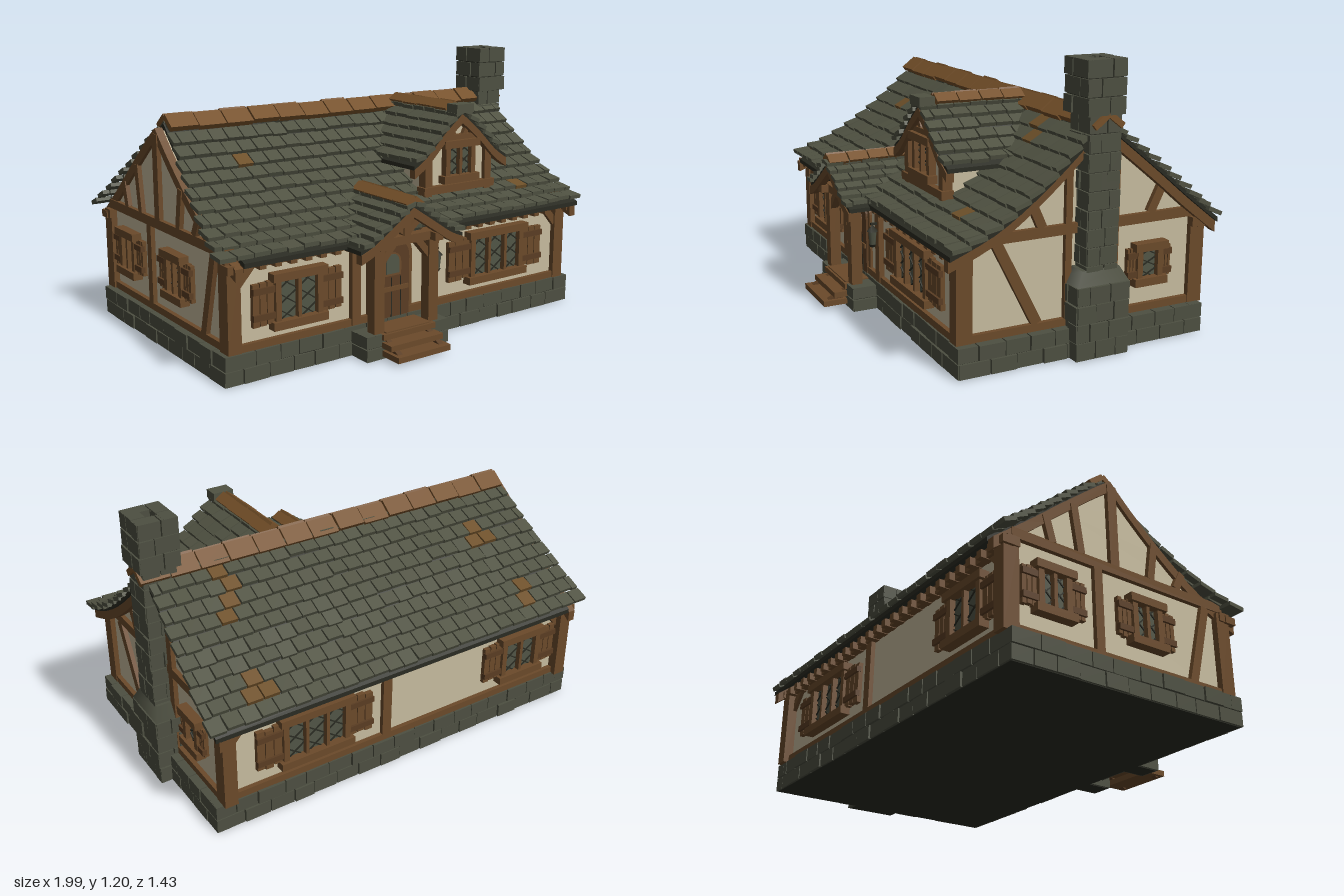
import * as THREE from 'three';
import { mergeGeometries } from 'three/addons/utils/BufferGeometryUtils.js';

const mat = (name, color) => Object.assign(new THREE.MeshStandardMaterial({ color }), { name });
const M = {
  slate: mat('slate', 0x505242), gap: mat('dark gap', 0x2a2b22), stone: mat('stone', 0x4d4f41),
  wood: mat('timber', 0x6b4a2a), board: mat('dark board', 0x5a3d23), ridge: mat('ridge wood', 0x755029),
  plaster: mat('plaster', 0xc6bb9e), glass: mat('glass', 0x515546), moss: mat('rusty slate', 0x6e5029),
};
const V = (x, y, z) => new THREE.Vector3(x, y, z);
let seed = 7;
const rnd = () => (seed = (seed * 16807) % 2147483647) / 2147483647;
const jit = a => (rnd() - 0.5) * 2 * a;

function add(parent, name, geo, material, x = 0, y = 0, z = 0) {
  const m = new THREE.Mesh(geo, material);
  m.name = name;
  m.position.set(x, y, z);
  parent.add(m);
  return m;
}
const box = (g, name, m, x0, x1, y0, y1, z0, z1) =>
  add(g, name, new THREE.BoxGeometry(x1 - x0, y1 - y0, z1 - z0), m, (x0 + x1) / 2, (y0 + y1) / 2, (z0 + z1) / 2);

// Straight timber between two points; depth is measured along the wall normal
function beam(g, name, a, b, w, depth, normal = V(0, 0, 1), m = M.wood) {
  const dir = b.clone().sub(a), len = dir.length();
  dir.normalize();
  const side = dir.clone().cross(normal).normalize();
  const mesh = add(g, name, new THREE.BoxGeometry(w, len, depth), m);
  mesh.quaternion.setFromRotationMatrix(new THREE.Matrix4().makeBasis(side, dir, side.clone().cross(dir)));
  mesh.position.copy(a).add(b).multiplyScalar(0.5);
}

// Courses of uneven blocks around a dark core
function masonry(g, name, x0, x1, y0, y1, z0, z1, courses, size, coreDrop = 0.012) {
  const geos = [], h = (y1 - y0) / courses, D = 0.06, gp = 0.005;
  box(g, name + 'Core', M.gap, x0 + 0.01, x1 - 0.01, y0, y1 - coreDrop, z0 + 0.01, z1 - 0.01);
  const run = (a, b, place) => {
    const n = Math.max(1, Math.round((b - a) / size)), s = (b - a) / n;
    for (let r = 0; r < courses; r++) {
      const cuts = [a];
      for (let i = 1; i < n; i++) cuts.push(a + (i + (r % 2 ? 0.2 : -0.2)) * s + jit(s * 0.12));
      cuts.push(b);
      for (let i = 0; i < n; i++) place(cuts[i], cuts[i + 1], y0 + r * h);
    }
  };
  const block = (w, d, cx, cy, cz) => geos.push(new THREE.BoxGeometry(w, h - gp, d).rotateZ(jit(0.015)).translate(cx, cy + h / 2, cz));
  for (const s of [-1, 1]) {
    run(x0, x1, (a, b, y) => block(b - a - gp, D, (a + b) / 2, y, (s < 0 ? z0 + D / 2 : z1 - D / 2) + jit(0.004)));
    run(z0, z1, (a, b, y) => block(D, b - a - gp, (s < 0 ? x0 + D / 2 : x1 - D / 2) + jit(0.004), y, (a + b) / 2));
  }
  add(g, name, mergeGeometries(geos), M.stone);
}

const curve = pts => new THREE.SplineCurve(pts.map(p => new THREE.Vector2(...p)));
const mainFront = curve([[-0.13, 0.965], [-0.035, 0.87], [0.14, 0.72], [0.33, 0.59], [0.53, 0.505]]);
const mainBack = curve([[-0.13, 0.965], [-0.2, 0.915], [-0.4, 0.755], [-0.55, 0.63], [-0.71, 0.505]]);
const frontSamples = mainFront.getSpacedPoints(80);
const roofZ = y => frontSamples.reduce((p, q) => (Math.abs(q.y - y) < Math.abs(p.y - y) ? q : p)).x;
const flip = (c, cx, s) => curve(c.points.map(p => [cx + s * p.x, p.y]));

// Strip hanging below a roof curve, used for the roof deck and the barge boards
function stripGeo(c, top, bottom, length) {
  const p = c.getSpacedPoints(12);
  const pts = [...p.map(q => new THREE.Vector2(q.x, q.y - top)), ...p.reverse().map(q => new THREE.Vector2(q.x, q.y - bottom))];
  return new THREE.ExtrudeGeometry(new THREE.Shape(pts), { depth: length, bevelEnabled: false });
}

// Overlapping staggered slates; range(t, y) gives the extent of each row
const rusty = [[-0.68, -0.6], [-0.62, -0.33], [-0.62, 0.07], [0.68, -0.35], [0.64, -0.22], [0.72, 0.35], [0.7, -0.6], [0.62, -0.02]];
function slates(g, name, c, rows, width, toPoint, along, range) {
  const sets = { slate: [], moss: [] };
  for (let r = 0; r < rows; r++) {
    const A = c.getPointAt(Math.max(0, (r - 0.15) / rows)), B = c.getPointAt((r + 1) / rows);
    const [s, e] = range((r + 0.7) / rows, B.y);
    const n = Math.max(1, Math.round((e - s) / width)), w = (e - s) / n, shift = r % 2 ? 0.5 : 0;
    for (let i = 0; i < n + (shift ? 1 : 0); i++) {
      const a = Math.max(s, s + (i - shift) * w), b = Math.min(e, s + (i + 1 - shift) * w), mid = (a + b) / 2;
      const p = toPoint(A.x, A.y, mid), q = toPoint(B.x, B.y + 0.022 + jit(0.004), mid);
      const d = q.clone().sub(p), len = d.length() + jit(0.006);
      const nrm = d.normalize().clone().cross(along);
      if (nrm.y < 0) nrm.negate();
      const k = new THREE.Matrix4().makeBasis(along, nrm, along.clone().cross(nrm)).setPosition(p.add(q).multiplyScalar(0.5));
      const red = rusty.some(([x, z]) => Math.hypot((p.x - x) * 0.9, p.z - z) < 0.05) && name === 'mainSlates';
      sets[red ? 'moss' : 'slate'].push(new THREE.BoxGeometry(b - a - 0.006, 0.018, len).applyMatrix4(k));
    }
  }
  for (const key in sets) if (sets[key].length) add(g, name, mergeGeometries(sets[key]), M[key]);
}

// Pair of tilted boards per segment along a ridge, built along x
function ridgeCap(name, length, segs, half, drop) {
  const g = new THREE.Group(), s = length / segs, geos = [];
  g.name = name;
  for (let i = 0; i < segs; i++) for (const k of [-1, 1])
    geos.push(new THREE.BoxGeometry(s - 0.006, 0.025, Math.hypot(half, drop)).rotateX(k * Math.atan2(drop, half))
      .translate((i + 0.5) * s, -drop / 2 + jit(0.004), k * half / 2));
  add(g, 'ridgeBoards', mergeGeometries(geos), M.ridge);
  return g;
}

// Leaded window facing +z, with optional shutters
function makeWindow(w, h, panes, shutter) {
  const g = new THREE.Group(), f = 0.026, pw = w / panes;
  g.name = 'window';
  box(g, 'glass', M.glass, -w / 2, w / 2, -h / 2, h / 2, 0, 0.008);
  for (let i = 0; i <= panes; i++) {
    const x = -w / 2 + i * pw, t = i % panes ? 0.008 : f / 2;
    box(g, 'mullion', M.wood, x - t, x + t, -h / 2, h / 2, 0, 0.032);
  }
  for (let i = 0; i < panes; i++) for (let j = 0; j < 3; j++) for (const s of [-1, 1]) {
    const cx = -w / 2 + (i + 0.5) * pw, cy = -h / 2 + (j + 0.5) * h / 3;
    beam(g, 'lattice', V(cx - s * pw / 2, cy - h / 6, 0.01), V(cx + s * pw / 2, cy + h / 6, 0.01), 0.005, 0.006, V(0, 0, 1), M.gap);
  }
  for (const s of [-1, 1]) box(g, 'lintelOrSill', M.wood, -w / 2 - 0.03, w / 2 + 0.03, s * h / 2 - 0.017, s * h / 2 + 0.017, 0, 0.045);
  if (shutter) for (const s of [-1, 1]) {
    const leaf = new THREE.Group();
    leaf.name = 'shutter';
    leaf.position.x = s * (w / 2 + 0.014 + shutter / 2);
    for (let i = 0; i < 3; i++) {
      const x = (i - 1) * shutter / 3, e = shutter / 6 - 0.002, k = jit(0.006);
      box(leaf, 'plank', M.wood, x - e, x + e, -h * 0.44 + k, h * 0.44 + k, 0, 0.02);
    }
    for (const y of [-0.27, 0.27]) box(leaf, 'batten', M.board, -shutter / 2, shutter / 2, y * h - 0.013, y * h + 0.013, 0.01, 0.03);
    g.add(leaf);
  }
  return g;
}

export function createModel() {
  seed = 7;
  const house = new THREE.Group();
  house.name = 'cottage';
  const X = V(1, 0, 0), Z = V(0, 0, 1);
  const placeWindow = (x, y, z, ry, ...args) => {
    const w = makeWindow(...args);
    w.position.set(x, y, z);
    w.rotation.y = ry;
    house.add(w);
  };

  // Foundation and plastered body
  masonry(house, 'foundation', -0.965, 0.94, 0, 0.13, -0.66, 0.49, 2, 0.11);
  const section = [[0.46, 0.12], [0.46, 0.5], [0.33, 0.56], [0.14, 0.69], [-0.035, 0.84], [-0.13, 0.93], [-0.4, 0.72], [-0.55, 0.6], [-0.63, 0.53], [-0.63, 0.12]];
  const body = new THREE.ExtrudeGeometry(new THREE.Shape(section.map(p => new THREE.Vector2(...p))), { depth: 1.8, bevelEnabled: false });
  add(house, 'plasterWalls', body.rotateY(-Math.PI / 2), M.plaster, 0.885);

  // Front and back framing, with rafter tails under the eaves
  for (const [z, s] of [[0.46, 1], [-0.63, -1]]) {
    box(house, 'sillBeam', M.wood, -0.92, 0.89, 0.125, 0.158, z - 0.02, z + 0.02);
    box(house, 'wallPlate', M.wood, -0.95, 0.92, 0.465, 0.505, z - 0.03, z + 0.025);
    for (let i = 0; i < 27; i++) box(house, 'rafterTail', M.wood, -0.955 + i * 0.071, -0.925 + i * 0.071, 0.462, 0.495, Math.min(z, z + s * 0.055), Math.max(z, z + s * 0.055));
    for (const x of [-0.913, 0.878]) {
      box(house, 'cornerPost', M.wood, x - 0.03, x + 0.03, 0.125, 0.5, z - 0.045, z + 0.025);
      const k = x < 0 ? 1 : -1;
      beam(house, 'cornerBrace', V(x, 0.38, z), V(x + k * 0.09, 0.48, z), 0.035, 0.035);
    }
  }
  for (const x of [-0.33, 0.09]) box(house, 'frontPost', M.wood, x - 0.022, x + 0.022, 0.13, 0.48, 0.44, 0.485);
  box(house, 'backPost', M.wood, 0.075, 0.12, 0.13, 0.48, -0.65, -0.61);
  placeWindow(-0.615, 0.31, 0.46, 0, 0.2, 0.2, 2, 0.1);
  placeWindow(0.47, 0.315, 0.46, 0, 0.3, 0.21, 3, 0.125);
  placeWindow(0.46, 0.315, -0.63, Math.PI, 0.3, 0.21, 3, 0.12);
  placeWindow(-0.66, 0.31, -0.63, Math.PI, 0.2, 0.2, 2, 0.1);

  // Gable framing: each strut is [z0, y0, z1, y1, width]
  const common = [[0.46, 0.53, -0.63, 0.53, 0.042], [0.46, 0.142, -0.63, 0.142, 0.034]];
  const ends = {
    0.885: [[0.31, 0.51, 0.13, 0.16, 0.045], [0.17, 0.68, 0.11, 0.55, 0.04], [-0.46, 0.67, -0.4, 0.55, 0.04], [-0.225, 0.14, -0.225, 0.84, 0.04], [-0.01, 0.14, -0.01, 0.82, 0.03]],
    '-0.915': [[0.24, 0.63, 0.2, 0.55, 0.035], [0.09, 0.72, 0.06, 0.55, 0.035], [-0.13, 0.92, -0.13, 0.55, 0.045], [-0.33, 0.76, -0.3, 0.55, 0.035],
      [-0.47, 0.66, -0.44, 0.55, 0.035], [-0.22, 0.14, -0.22, 0.52, 0.04], [0.26, 0.14, 0.36, 0.51, 0.04]],
  };
  for (const x in ends) for (const [z0, y0, z1, y1, w] of [...common, ...ends[x]])
    beam(house, 'gableTimber', V(+x, y0, z0), V(+x, y1, z1), w, 0.04, X);
  placeWindow(0.885, 0.335, -0.4, Math.PI / 2, 0.1, 0.15, 1, 0.045);
  placeWindow(-0.915, 0.335, -0.44, -Math.PI / 2, 0.13, 0.18, 2, 0.07);
  placeWindow(-0.915, 0.335, 0.02, -Math.PI / 2, 0.13, 0.18, 2, 0.07);

  // Main roof: deck, barge boards, slates and ridge
  for (const [c, rows] of [[mainFront, 11], [mainBack, 11]]) {
    add(house, 'roofDeck', stripGeo(c, 0.002, 0.022, 1.84).rotateY(-Math.PI / 2), M.gap, 0.95);
    for (const x of [0.935, -0.895]) add(house, 'bargeBoard', stripGeo(c, 0.02, 0.07, 0.035).rotateY(-Math.PI / 2), M.wood, x);
    slates(house, 'mainSlates', c, rows, 0.075, (u, y, x) => V(x, y, u), X, t => [-0.885 - 0.115 * Math.pow(t, 1.3) + jit(0.004), 0.955 + 0.02 * t + jit(0.004)]);
  }
  const ridge = ridgeCap('mainRidge', 1.88, 14, 0.065, 0.05);
  ridge.position.set(-0.89, 0.99, -0.13);
  house.add(ridge);

  // Chimney with shoulders and a recessed flue
  masonry(house, 'chimneyBase', 0.83, 0.995, 0, 0.31, -0.245, 0, 4, 0.085);
  const shoulder = new THREE.CylinderGeometry(0.72 * Math.SQRT1_2, Math.SQRT1_2, 0.06, 4).rotateY(Math.PI / 4).scale(0.165, 1, 0.24);
  add(house, 'chimneyShoulder', shoulder, M.stone, 0.91, 0.34, -0.122);
  masonry(house, 'chimneyShaft', 0.83, 0.975, 0.31, 0.99, -0.195, -0.05, 9, 0.075);
  masonry(house, 'chimneyTop', 0.81, 0.985, 0.985, 1.205, -0.205, -0.03, 3, 0.085, 0.04);

  // Small gabled roofs of the porch and the dormer
  const smallRoof = (name, cx, pts, zFront, zBack, rows, zRidge, cap) => {
    const g = new THREE.Group(), base = curve(pts);
    g.name = name;
    for (const s of [-1, 1]) {
      const c = flip(base, cx, s);
      add(g, 'roofDeck', stripGeo(c, 0.002, 0.02, zFront - 0.02 - zBack), M.gap, 0, 0, zBack);
      add(g, 'bargeBoard', stripGeo(c, 0.018, 0.058, 0.035), M.wood, 0, 0, zFront - 0.05);
      slates(g, 'slates', c, rows, 0.08, (u, y, z) => V(u, y, z), Z, (t, y) => [roofZ(y + 0.01) - 0.03, zFront + jit(0.005)]);
    }
    const r = ridgeCap('ridge', cap - zRidge, 4, 0.042, 0.03);
    r.rotation.y = -Math.PI / 2;
    r.position.set(cx, pts[0][1] + 0.025, zRidge);
    g.add(r);
    house.add(g);
    return g;
  };

  // Dormer
  const dx = 0.335;
  const dormer = smallRoof('dormer', dx, [[0, 0.975], [0.1, 0.895], [0.2, 0.8], [0.275, 0.75]], 0.4, -0.05, 6, -0.1, 0.32);
  const face = [[-0.19, 0.55], [0.19, 0.55], [0.19, 0.77], [0.1, 0.86], [0, 0.945], [-0.1, 0.86], [-0.19, 0.77]];
  add(dormer, 'dormerWalls', new THREE.ExtrudeGeometry(new THREE.Shape(face.map(p => new THREE.Vector2(...p))), { depth: 0.34, bevelEnabled: false }), M.plaster, dx, 0, 0.005);
  box(dormer, 'dormerSill', M.wood, dx - 0.21, dx + 0.21, 0.605, 0.64, 0.32, 0.375);
  box(dormer, 'dormerTie', M.wood, dx - 0.14, dx + 0.14, 0.835, 0.865, 0.33, 0.37);
  box(dormer, 'ridgeEnd', M.slate, dx - 0.05, dx + 0.05, 0.965, 1.005, 0.33, 0.4);
  for (const s of [-1, 1]) {
    box(dormer, 'dormerPost', M.wood, dx + s * 0.178 - 0.02, dx + s * 0.178 + 0.02, 0.58, 0.785, 0.32, 0.365);
    beam(dormer, 'dormerStrut', V(dx + s * 0.03, 0.86, 0.35), V(dx + s * 0.055, 0.91, 0.35), 0.022, 0.03);
    for (let i = 0; i < 4; i++) box(dormer, 'rafterTail', M.wood, dx + s * 0.21 - 0.02, dx + s * 0.21 + 0.02, 0.75, 0.772, 0.1 + i * 0.07, 0.125 + i * 0.07);
  }
  placeWindow(dx, 0.745, 0.345, 0, 0.15, 0.16, 2, 0);

  // Porch: truss, posts, plinths and steps
  const px = -0.14;
  const porch = smallRoof('porch', px, [[0, 0.655], [0.1, 0.59], [0.2, 0.525], [0.27, 0.495]], 0.645, 0.3, 6, 0.25, 0.635);
  box(porch, 'tieBeam', M.wood, px - 0.2, px + 0.2, 0.475, 0.512, 0.54, 0.585);
  box(porch, 'kingPost', M.wood, px - 0.018, px + 0.018, 0.5, 0.64, 0.55, 0.585);
  for (const s of [-1, 1]) {
    const x = px + s * 0.145;
    box(porch, 'porchPost', M.wood, x - 0.026, x + 0.026, 0.11, 0.49, 0.535, 0.585);
    box(porch, 'sideBeam', M.wood, x - 0.022, x + 0.022, 0.475, 0.51, 0.44, 0.62);
    beam(porch, 'postBrace', V(x, 0.39, 0.56), V(x - s * 0.08, 0.48, 0.56), 0.03, 0.035);
    beam(porch, 'trussStrut', V(px, 0.515, 0.565), V(px + s * 0.085, 0.585, 0.565), 0.025, 0.03);
    masonry(porch, 'plinth', x + s * 0.02 - 0.055, x + s * 0.02 + 0.055, 0, 0.112, 0.46, 0.6, 2, 0.1);
  }
  box(porch, 'porchFloor', M.wood, px - 0.12, px + 0.12, 0.085, 0.115, 0.47, 0.6);
  for (let i = 0; i < 3; i++) box(porch, 'step', M.wood, px - 0.14, px + 0.14, 0.015 + i * 0.035, 0.04 + i * 0.035, 0.6 - i * 0.02, 0.71 - i * 0.05);
  for (const s of [-1, 1]) beam(porch, 'stringer', V(px + s * 0.11, 0.02, 0.69), V(px + s * 0.11, 0.075, 0.58), 0.03, 0.025, X, M.board);

  // Arched plank door
  const door = new THREE.Group();
  door.name = 'door';
  door.position.set(px - 0.005, 0.115, 0.462);
  const arch = (w, h, r) => new THREE.Shape().moveTo(-w, 0).lineTo(w, 0).lineTo(w, h).quadraticCurveTo(w, h + r, 0, h + r).quadraticCurveTo(-w, h + r, -w, h);
  const slab = (name, s, d, m, y, z) => add(door, name, new THREE.ExtrudeGeometry(s, { depth: d, bevelEnabled: false }), m, 0, y, z);
  slab('doorFrame', arch(0.12, 0.28, 0.09), 0.012, M.wood, 0, 0);
  slab('doorLeaf', arch(0.097, 0.27, 0.08), 0.012, M.board, 0, 0.01);
  slab('doorWindowFrame', arch(0.047, 0.05, 0.05), 0.008, M.wood, 0.2, 0.022);
  slab('doorWindow', arch(0.035, 0.045, 0.04), 0.005, M.glass, 0.21, 0.028);
  for (const x of [-0.05, 0, 0.05]) box(door, 'plankGap', M.gap, x - 0.002, x + 0.002, 0.01, 0.19, 0.02, 0.024);
  box(door, 'doorRail', M.wood, -0.09, 0.09, 0.13, 0.15, 0.02, 0.028);
  box(door, 'handle', M.gap, -0.08, -0.065, 0.13, 0.165, 0.022, 0.038);
  house.add(door);

  // Hanging lantern beside the porch
  const lantern = new THREE.Group();
  lantern.name = 'lantern';
  lantern.position.set(0.09, 0.34, 0.505);
  add(lantern, 'lampGlass', new THREE.CylinderGeometry(0.02, 0.014, 0.06, 6), M.glass);
  add(lantern, 'lampCap', new THREE.ConeGeometry(0.027, 0.03, 6), M.gap, 0, 0.045);
  add(lantern, 'lampFoot', new THREE.CylinderGeometry(0.018, 0.012, 0.012, 6), M.gap, 0, -0.036);
  box(lantern, 'lampBracket', M.gap, -0.005, 0.005, 0.058, 0.068, -0.04, 0.008);
  house.add(lantern);
  return house;
}
